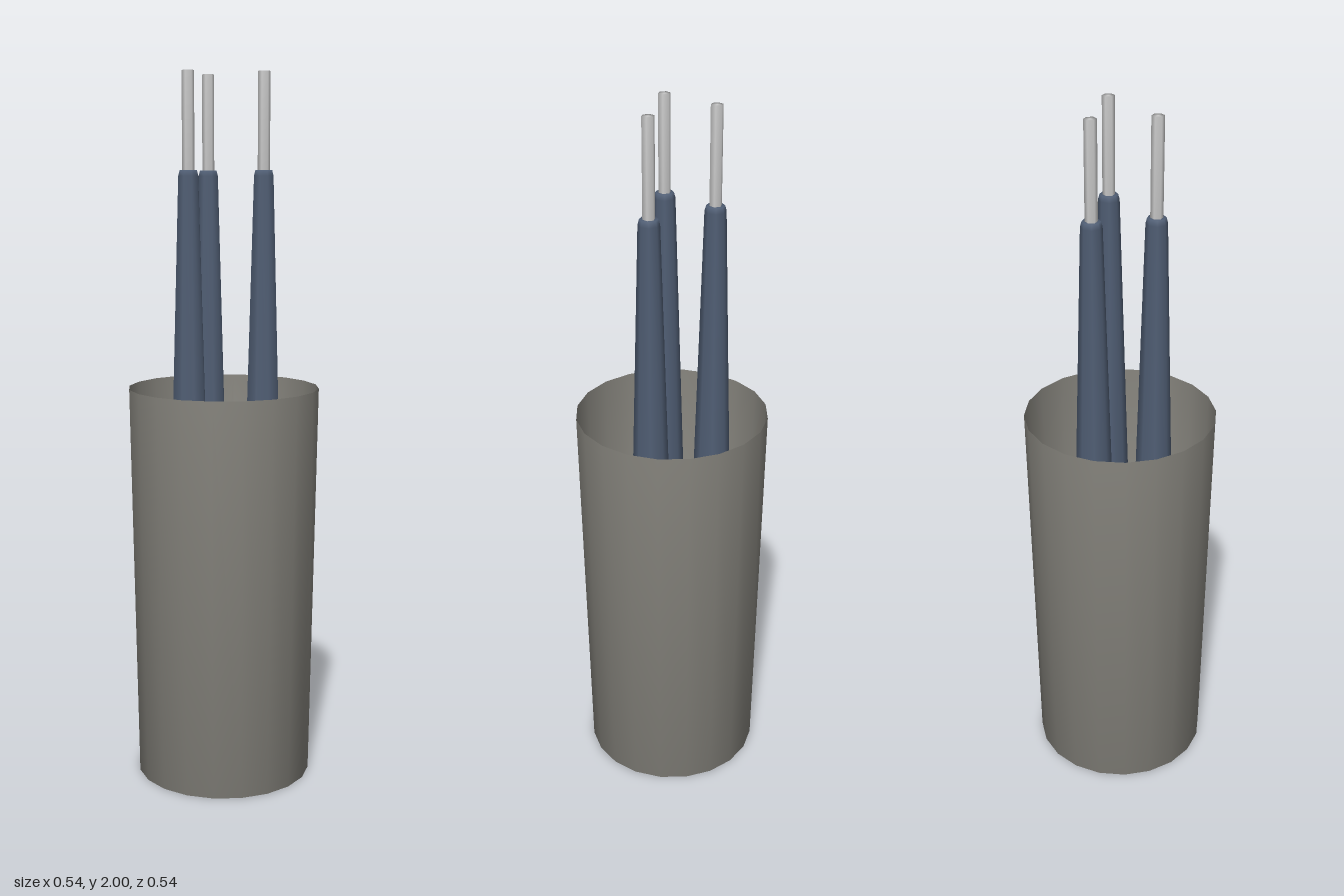
import * as THREE from 'three';

const cupMaterial = new THREE.MeshStandardMaterial({ color: 0x87857e, side: THREE.DoubleSide });
const handleMaterial = new THREE.MeshStandardMaterial({ color: 0x4f5d73 });
const rodMaterial = new THREE.MeshStandardMaterial({ color: 0xcccccc });

// Turned part from [radius, height] pairs, listed bottom to top
function turned(name, profile, sides, material) {
  const points = profile.map(([r, y]) => new THREE.Vector2(r, y));
  const mesh = new THREE.Mesh(new THREE.LatheGeometry(points, sides), material);
  mesh.name = name;
  return mesh;
}

// Tapered handle with a thin rod standing out of its top
function createTool(x, z) {
  const tool = new THREE.Group();
  tool.name = 'tool';
  tool.add(
    turned('handle', [[0, 0.02], [0.07, 0.02], [0.078, 0.5], [0.053, 0.9], [0.029, 1.72], [0.025, 1.735], [0, 1.735]], 8, handleMaterial),
    turned('rod', [[0, 1.7], [0.017, 1.7], [0.017, 2], [0, 2]], 6, rodMaterial),
  );
  tool.position.set(x, 0, z);
  return tool;
}

export function createModel() {
  const model = new THREE.Group();
  model.name = 'toolCup';

  // Open, thin-walled cup widening slightly to the rim
  model.add(turned('cup', [[0, 0], [0.25, 0], [0.27, 1.13]], 20, cupMaterial));

  // Three tools standing in the cup
  for (const [x, z] of [[-0.083, -0.078], [0.11, -0.025], [-0.065, 0.09]]) {
    model.add(createTool(x, z));
  }
  return model;
}
